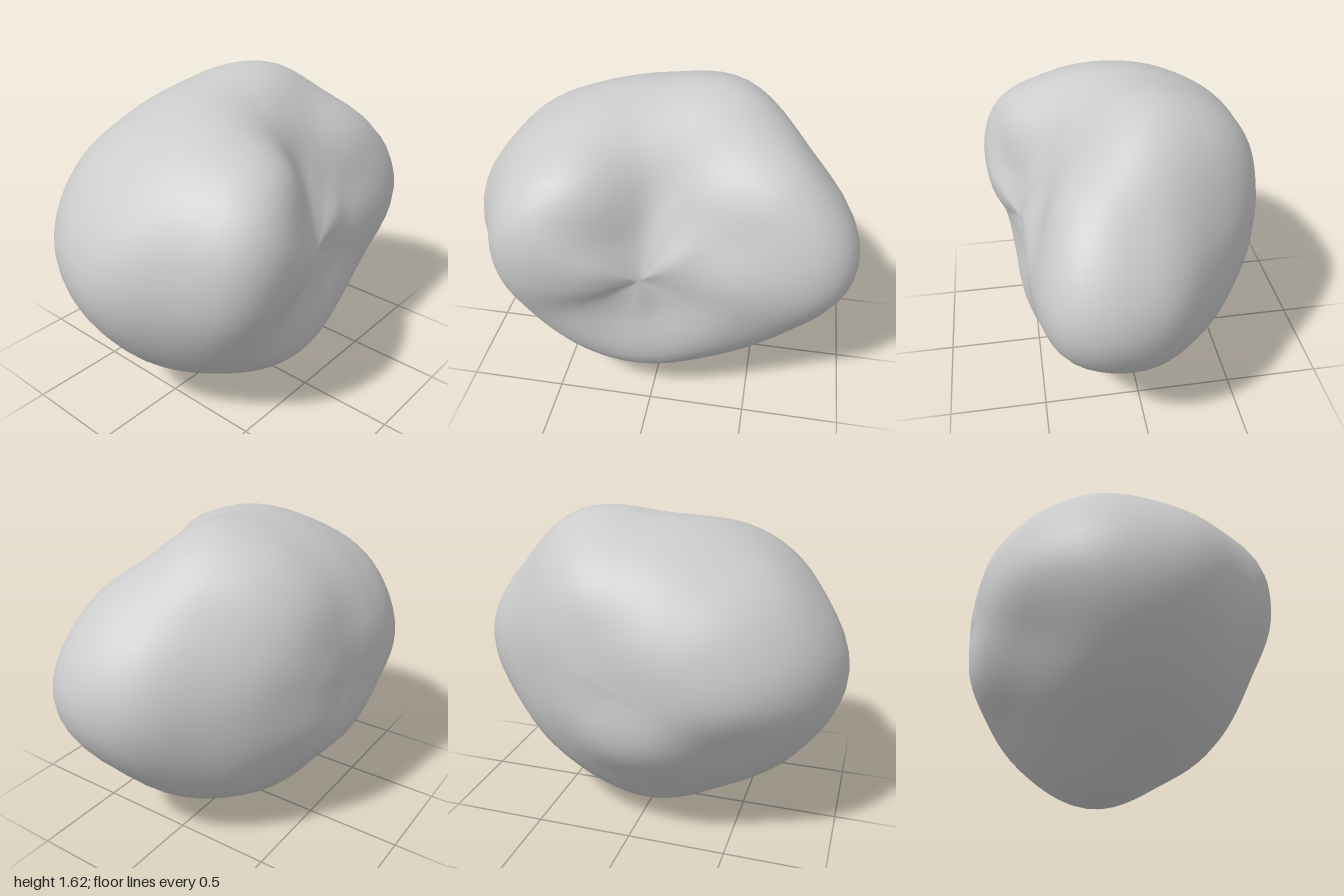
import * as THREE from 'three';
import { mergeVertices } from 'three/addons/utils/BufferGeometryUtils.js';

const FRONT = 0.55, BACK = 0.685;
const CENTRE = new THREE.Vector3(-0.03, 0.86, 0);

// Distance from the centre to the surface. One row per 30 degrees around the
// z axis (from +x, counter-clockwise); columns run from front to back.
const RADII = [
  [0.58, 0.74, 1.04, 1.00, 0.81, 0.725, 0.695],
  [0.57, 0.635, 0.90, 0.88, 0.80, 0.76, 0.705],
  [0.53, 0.56, 0.68, 0.835, 0.835, 0.79, 0.71],
  [0.53, 0.57, 0.66, 0.73, 0.75, 0.755, 0.72],
  [0.61, 0.80, 0.79, 0.77, 0.765, 0.77, 0.745],
  [0.735, 0.92, 0.88, 0.86, 0.875, 0.835, 0.765],
  [0.735, 0.905, 0.90, 0.97, 0.945, 0.87, 0.77],
  [0.66, 0.82, 0.855, 0.89, 0.85, 0.77, 0.75],
  [0.62, 0.79, 0.81, 0.82, 0.775, 0.735, 0.735],
  [0.60, 0.77, 0.80, 0.86, 0.795, 0.72, 0.725],
  [0.575, 0.74, 0.81, 0.84, 0.78, 0.72, 0.715],
  [0.57, 0.73, 0.89, 0.895, 0.80, 0.72, 0.70],
];

// Table lookup that wraps around the axis and continues across the poles
function sample(lon, lat) {
  if (lat < 0) return sample(lon + 6, -lat);
  if (lat > 8) return sample(lon + 6, 16 - lat);
  if (lat === 0) return FRONT;
  if (lat === 8) return BACK;
  return RADII[((lon % 12) + 12) % 12][lat - 1];
}

function smooth(a, b, c, d, t) {
  return b + 0.5 * t * (c - a + t * (2 * a - 5 * b + 4 * c - d + t * (3 * (b - c) + d - a)));
}

function radius(lon, lat) {
  const i = Math.floor(lon), j = Math.floor(lat);
  const rows = [-1, 0, 1, 2].map((dj) => smooth(
    ...[-1, 0, 1, 2].map((di) => sample(i + di, j + dj)), lon - i));
  return smooth(...rows, lat - j);
}

export function createModel() {
  const group = new THREE.Group();
  group.name = 'rock';

  // Sphere with its poles at front and back, pushed out to the lumpy outline
  let geometry = new THREE.SphereGeometry(1, 72, 48);
  geometry.rotateX(Math.PI / 2);
  geometry.deleteAttribute('uv');
  geometry.deleteAttribute('normal');
  geometry = mergeVertices(geometry, 1e-4);
  const position = geometry.attributes.position;
  const v = new THREE.Vector3();
  for (let i = 0; i < position.count; i++) {
    v.fromBufferAttribute(position, i).normalize();
    const lon = Math.atan2(v.y, v.x) / (Math.PI / 6);
    const lat = Math.acos(THREE.MathUtils.clamp(v.z, -1, 1)) / (Math.PI / 8);
    v.multiplyScalar(radius(lon, lat)).add(CENTRE);
    position.setXYZ(i, v.x, v.y, v.z);
  }
  geometry.computeVertexNormals();

  const stone = new THREE.Mesh(geometry, new THREE.MeshStandardMaterial({ color: 0xcccccc }));
  stone.name = 'boulder';
  group.add(stone);
  return group;
}
